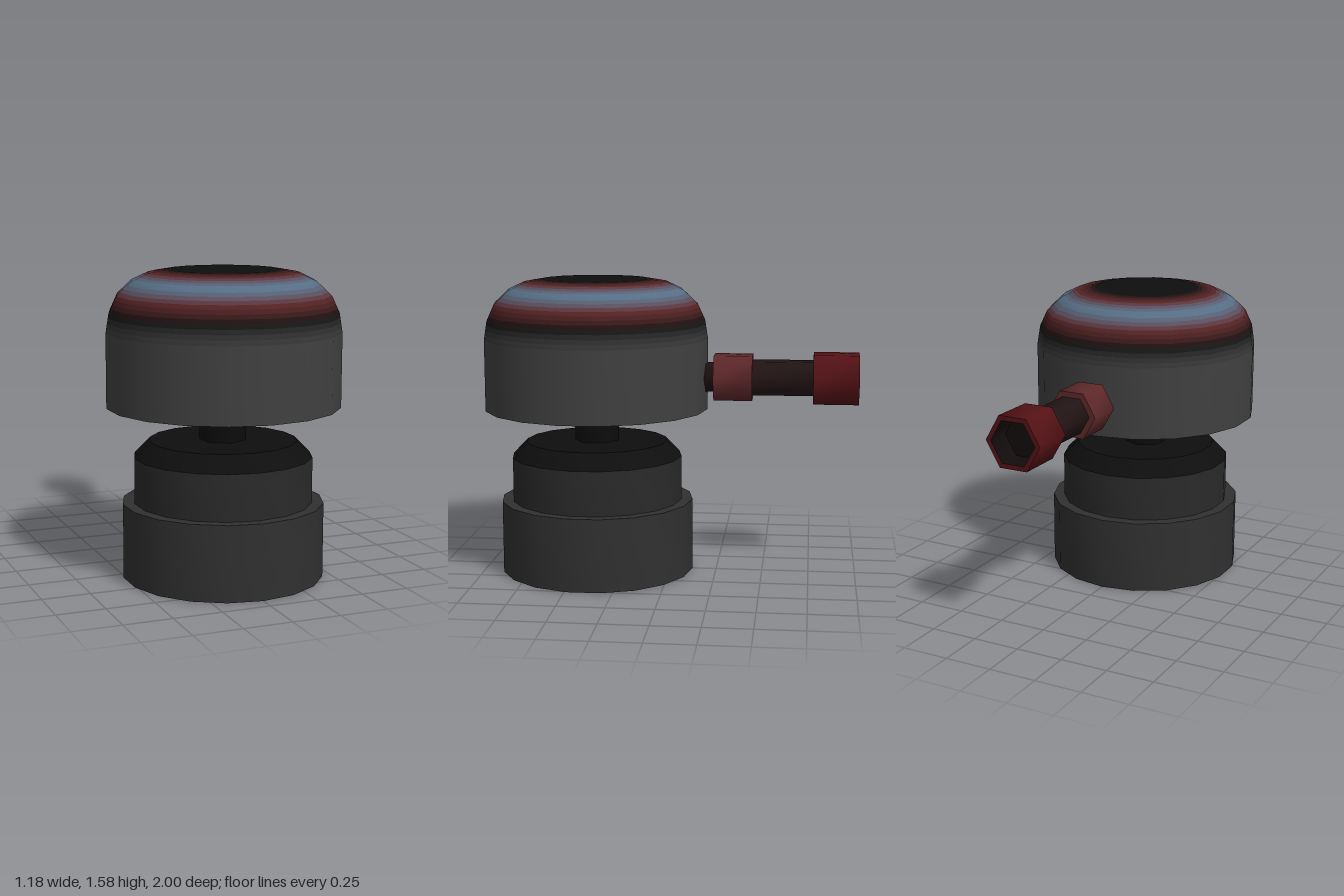
import * as THREE from 'three';
import { toCreasedNormals } from 'three/addons/utils/BufferGeometryUtils.js';

const CENTER_Z = 0.4;
const ARM_Y = 1.06;

const toPoints = (list) => list.map(([r, h]) => new THREE.Vector2(r, h));

function addMesh(parent, name, geometry, color) {
  const mesh = new THREE.Mesh(geometry, new THREE.MeshStandardMaterial({ color }));
  mesh.name = name;
  parent.add(mesh);
  return mesh;
}

// Turned part, smooth around and sharp where the profile bends past the crease angle
function turned(profile, sides, crease) {
  return toCreasedNormals(new THREE.LatheGeometry(toPoints(profile), sides), crease);
}

// Six-sided arm part whose profile runs backwards along -z
function armPart(parent, name, profile, color) {
  const geometry = turned(profile, 6, 1.2);
  geometry.rotateY(Math.PI / 2).rotateX(-Math.PI / 2);
  addMesh(parent, name, geometry, color).position.y = ARM_Y;
}

const cylinder = (r, from, to) => [[0, from], [r, from], [r, to], [0, to]];

// Domed head with soft coloured rings, one mesh per ring
function buildHead() {
  const head = new THREE.Group();
  head.name = 'head';
  const profile = [[0.6, 0.885], [0.6, 1.265], [0.584, 1.365], [0.545, 1.45],
    [0.47, 1.52], [0.386, 1.56], [0.285, 1.577], [0, 1.577]];
  const colors = [0x444444, 0x3c3c3c, 0x0c0c0c, 0x5a2526, 0x54738c, 0x5a2526, 0x0e0e0e, 0x0e0e0e]
    .map((c) => new THREE.Color(c));

  // Split only the coloured segments so the rings blend
  const points = [profile[0]];
  const ringColors = [];
  for (let i = 0; i < profile.length - 1; i++) {
    const steps = i === 0 || i === profile.length - 2 ? 1 : 4;
    for (let s = 1; s <= steps; s++) {
      const t = s / steps;
      points.push([0, 1].map((k) => THREE.MathUtils.lerp(profile[i][k], profile[i + 1][k], t)));
      ringColors.push(colors[i].clone().lerp(colors[i + 1], (s - 0.5) / steps));
    }
  }
  const sides = 18;
  const lathe = new THREE.LatheGeometry(toPoints(points), sides);
  const all = Array.from(lathe.index.array);
  const rings = points.length - 1;
  for (let j = 0; j < rings; j++) {
    const index = [];
    for (let i = 0; i < sides; i++) {
      const start = (i * rings + j) * 6;
      index.push(...all.slice(start, start + 6));
    }
    const ring = lathe.clone();
    ring.setIndex(index);
    const name = j === 0 ? 'headWall' : j === rings - 1 ? 'headTop' : 'domeRing' + j;
    addMesh(head, name, ring.toNonIndexed(), ringColors[j]);
  }
  addMesh(head, 'headUnderside', turned([[0, 0.885], [0.6, 0.885]], sides, 0.7), 0x2c2c2c);
  head.position.z = CENTER_Z;
  return head;
}

export function createModel() {
  const model = new THREE.Group();
  model.name = 'model';

  // Stepped stand
  const stand = new THREE.Group();
  stand.name = 'stand';
  stand.position.z = CENTER_Z;
  addMesh(stand, 'base', turned(cylinder(0.52, 0, 0.388), 18, 0.7), 0x303030);
  addMesh(stand, 'body', turned([[0.46, 0.388], [0.46, 0.625]], 18, 0.7), 0x2a2a2a);
  addMesh(stand, 'shoulder', turned([[0.46, 0.625], [0.38, 0.707], [0, 0.707]], 18, 0.7), 0x0e0e0e);
  addMesh(stand, 'neck', turned(cylinder(0.12, 0.7, 0.89), 6, 1.2), 0x0c0c0c);
  model.add(stand);

  model.add(buildHead());

  // Rear arm with collar and hollow end
  const arm = new THREE.Group();
  arm.name = 'arm';
  armPart(arm, 'armRoot', cylinder(0.085, 0.1, 0.24), 0x1c1010);
  armPart(arm, 'armCollar', cylinder(0.136, 0.235, 0.44), 0x5e282a);
  armPart(arm, 'armTube', cylinder(0.103, 0.43, 0.77), 0x221414);
  armPart(arm, 'armEnd', [[0, 0.76], [0.15, 0.76], [0.15, 1], [0.122, 1]], 0x541216);
  armPart(arm, 'armEndRecess', [[0.122, 1], [0.115, 0.88], [0, 0.88]], 0x140c0c);
  model.add(arm);

  return model;
}
